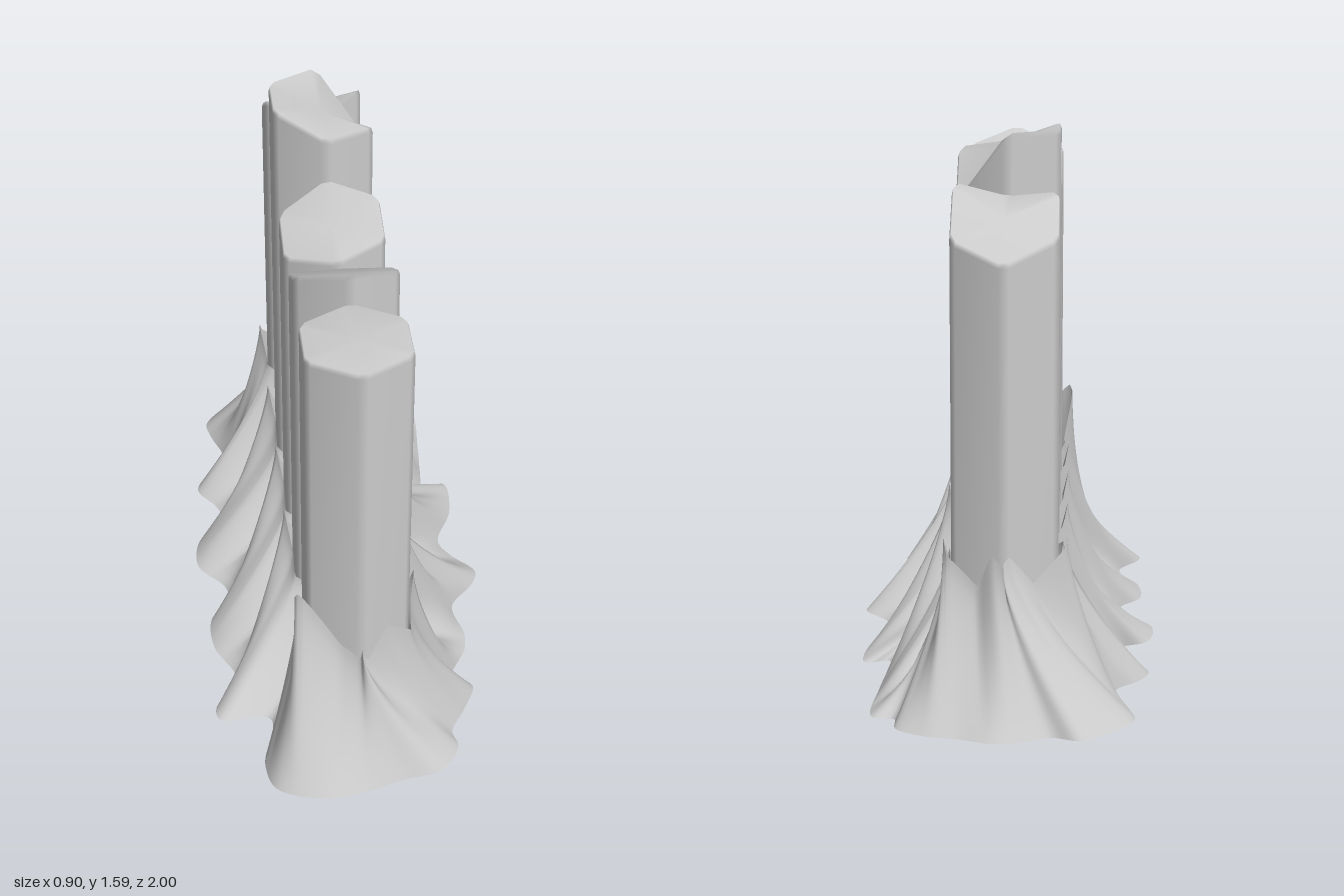
import * as THREE from 'three';

const CX = -0.015, CZ = 0.01; // centre line of the column row
const material = new THREE.MeshStandardMaterial({ color: 0xcccccc, side: THREE.DoubleSide });

function buildGeometry(positions, indices) {
  const g = new THREE.BufferGeometry();
  g.setAttribute('position', new THREE.Float32BufferAttribute(positions, 3));
  g.setIndex(indices);
  g.computeVertexNormals();
  return g;
}

// Column centres, and top heights of the six corners: front, then round by +x to the back and -x
const columns = [
  { z: 0.66, tops: [1.39, 1.39, 1.39, 1.39, 1.39, 1.39] },
  { z: 0.335, tops: [1.49, 1.44, 1.34, 1.29, 1.34, 1.44] },
  { z: 0.01, tops: [1.32, 1.335, 1.375, 1.39, 1.335, 1.29] },
  { z: -0.315, tops: [1.53, 1.52, 1.39, 1.59, 1.59, 1.59] },
  { z: -0.645, tops: [1.415, 1.465, 1.335, 1.28, 1.34, 1.44] },
];

// Hexagonal tube with softened corners and rim, open below, cut at a slant on top
function columnGeometry(tops) {
  const R = 0.172, pos = [], idx = [];
  const corners = tops.map((y, k) => new THREE.Vector3(R * Math.sin(k * Math.PI / 3), y, R * Math.cos(k * Math.PI / 3)));
  const ring = [];
  corners.forEach((c, k) => {
    ring.push(c.clone().lerp(corners[(k + 5) % 6], 0.1), c.clone().lerp(corners[(k + 1) % 6], 0.1));
  });
  const n = ring.length;
  ring.forEach(p => pos.push(p.x, 0, p.z));
  ring.forEach(p => pos.push(p.x, p.y - 0.015, p.z));
  ring.forEach(p => pos.push(p.x * 0.97, p.y, p.z * 0.97));
  pos.push(0, tops.reduce((a, b) => a + b) / 6, 0);
  for (let i = 0; i < n; i++) {
    const j = (i + 1) % n;
    for (let r = 0; r < 2 * n; r += n) idx.push(r + i, r + j, r + n + j, r + i, r + n + j, r + n + i);
    idx.push(3 * n, 2 * n + i, 2 * n + j);
  }
  return buildGeometry(pos, idx);
}

// Ragged ground outline [x, z], from the back round by +x to the front and home by -x
const outline = [
  [0, -1], [0.1, -0.97], [0.2, -0.95], [0.28, -0.9], [0.29, -0.83], [0.35, -0.82], [0.35, -0.6],
  [0.34, -0.47], [0.34, -0.38], [0.41, -0.4], [0.41, -0.25], [0.35, -0.1], [0.38, -0.03], [0.45, 0.06],
  [0.43, 0.12], [0.35, 0.22], [0.37, 0.35], [0.36, 0.42], [0.3, 0.55], [0.36, 0.58], [0.32, 0.68],
  [0.27, 0.77], [0.28, 0.83], [0.22, 0.92], [0.1, 0.95], [0, 0.98], [-0.12, 1], [-0.27, 0.95],
  [-0.3, 0.85], [-0.27, 0.66], [-0.42, 0.65], [-0.43, 0.6], [-0.36, 0.48], [-0.42, 0.33], [-0.42, 0.2],
  [-0.36, 0.12], [-0.37, 0.05], [-0.45, -0.06], [-0.43, -0.2], [-0.35, -0.25], [-0.37, -0.35],
  [-0.43, -0.45], [-0.4, -0.52], [-0.33, -0.6], [-0.37, -0.75], [-0.38, -0.82], [-0.3, -0.92],
  [-0.23, -0.97], [-0.15, -0.95], [-0.08, -0.98],
];

// Spiky upper rims as [z, height], on the +x side and the -x side
const rimLeft = [
  [-0.85, 0.4], [-0.81, 0.47], [-0.785, 0.37], [-0.71, 0.49], [-0.66, 0.4], [-0.62, 0.43], [-0.49, 0.28],
  [-0.45, 0.44], [-0.36, 0.35], [-0.285, 0.53], [-0.22, 0.37], [-0.12, 0.27], [-0.05, 0.38], [0.01, 0.48],
  [0.08, 0.36], [0.16, 0.26], [0.2, 0.35], [0.25, 0.45], [0.32, 0.42], [0.37, 0.53], [0.42, 0.4],
  [0.5, 0.27], [0.56, 0.39], [0.6, 0.52], [0.65, 0.44], [0.73, 0.4], [0.78, 0.47], [0.81, 0.37],
  [0.85, 0.46],
];
const rimRight = [
  [-0.85, 0.4], [-0.82, 0.47], [-0.78, 0.38], [-0.72, 0.5], [-0.64, 0.38], [-0.57, 0.44], [-0.49, 0.27],
  [-0.44, 0.34], [-0.38, 0.5], [-0.3, 0.38], [-0.16, 0.27], [-0.1, 0.36], [-0.05, 0.5], [0.03, 0.38],
  [0.17, 0.27], [0.22, 0.36], [0.27, 0.5], [0.35, 0.4], [0.5, 0.28], [0.58, 0.42], [0.66, 0.4],
  [0.74, 0.58], [0.79, 0.42], [0.82, 0.39], [0.85, 0.46],
];
function rimHeight(rim, z) {
  const k = Math.max(1, rim.findIndex(p => p[0] >= z));
  const [z0, h0] = rim[k - 1], [z1, h1] = rim[k];
  return THREE.MathUtils.mapLinear(z, z0, z1, h0, h1);
}

// Half width of the row of hexagons at a given z
function rowHalfWidth(z) {
  const d = Math.min(...columns.map(c => Math.abs(z - c.z + CZ)));
  const w = Math.min(0.155, 0.155 - (d - 0.083) * 1.73);
  return Math.max(w, Math.abs(z) > 0.66 ? 0 : 0.015);
}

// Walk round a stadium shape: u = 0 at the back, through +x, to the front and home by -x
function rimPoint(u) {
  const half = u < 0.5 ? 1 : -1, s = half > 0 ? u * 2 : 2 - u * 2;
  const end = 0.187;
  let z;
  if (s < end) z = -0.66 - 0.18 * Math.cos(s / end * Math.PI / 2);
  else if (s > 1 - end) z = 0.66 + 0.18 * Math.cos((1 - s) / end * Math.PI / 2);
  else z = THREE.MathUtils.mapLinear(s, end, 1 - end, -0.66, 0.66);
  const h = rimHeight(half > 0 ? rimLeft : rimRight, z);
  const lean = Math.max(0, h - 0.4) * 0.2 * Math.min(1, (0.84 - Math.abs(z)) * 8); // spikes stand clear of the columns
  return new THREE.Vector3(CX + half * (rowHalfWidth(z) + lean), h, z + CZ);
}

// Flaring, twisted skirt between the rim and the ground outline
function skirtGeometry() {
  const N = 360, M = 18, TWIST = 0.042, pos = [], idx = [];
  const base = new THREE.CatmullRomCurve3(outline.map(([x, z]) => new THREE.Vector3(x, 0, z)), true, 'centripetal');
  base.arcLengthDivisions = 800;
  for (let j = 0; j <= M; j++) {
    const t = j / M, f = Math.pow(t, 1.4);
    for (let i = 0; i < N; i++) {
      const u = i / N, a = rimPoint(u);
      const b = base.getPointAt((u - TWIST + 1) % 1);
      pos.push(a.x + (b.x - a.x) * f, a.y * (1 - t), a.z + (b.z - a.z) * f);
    }
  }
  for (let j = 0; j < M; j++) {
    for (let i = 0; i < N; i++) {
      const k = (i + 1) % N, a = j * N + i, b = j * N + k;
      idx.push(a, b, b + N, a, b + N, a + N);
    }
  }
  return buildGeometry(pos, idx);
}

export function createModel() {
  const group = new THREE.Group();
  group.name = 'columnRow';
  columns.forEach((c, i) => {
    const mesh = new THREE.Mesh(columnGeometry(c.tops), material);
    mesh.name = `column${i + 1}`;
    mesh.position.set(CX, 0, c.z);
    group.add(mesh);
  });
  const skirt = new THREE.Mesh(skirtGeometry(), material);
  skirt.name = 'groundSkirt';
  group.add(skirt);
  return group;
}
